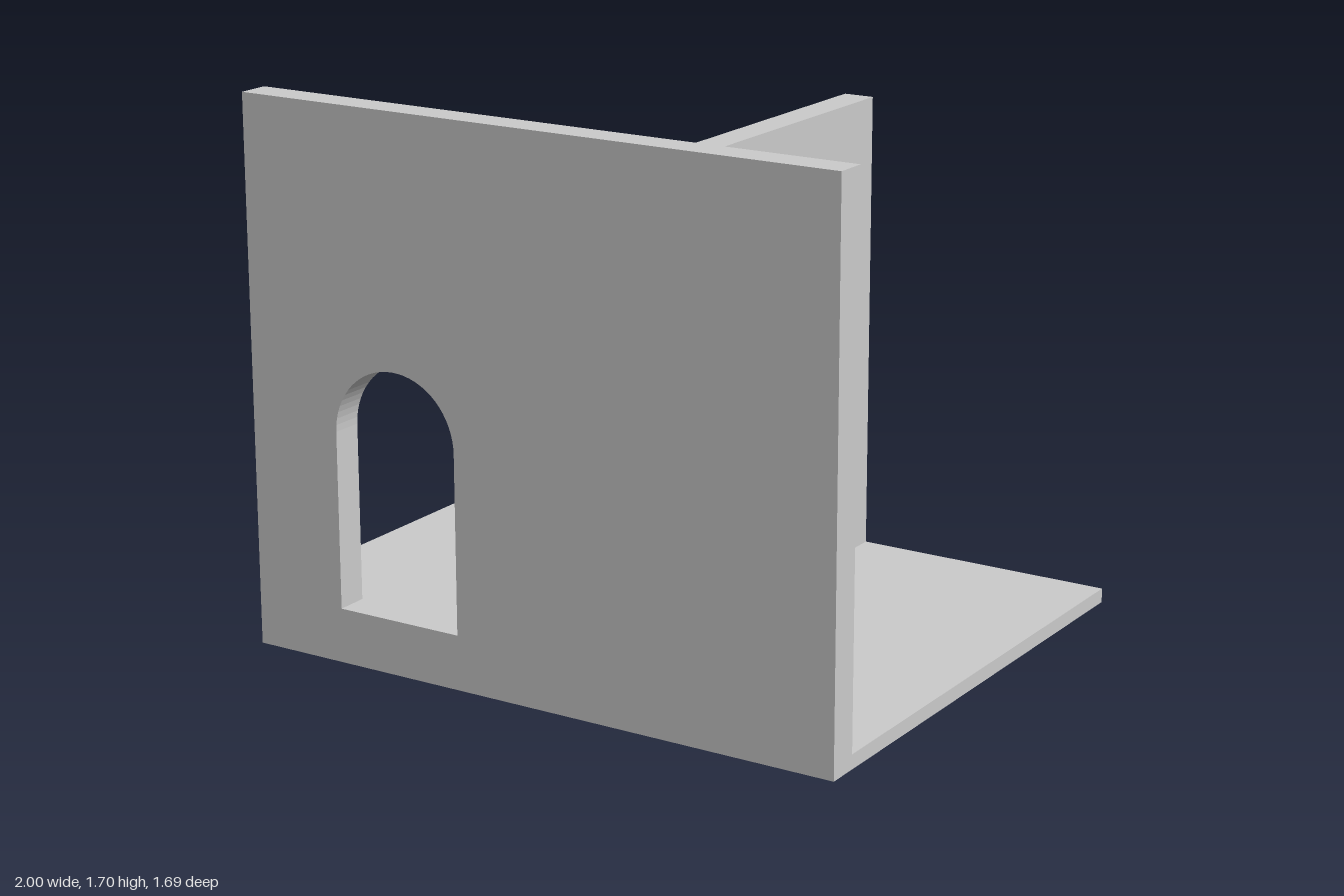
import * as THREE from 'three';

const material = new THREE.MeshStandardMaterial({ color: 0xcccccc, flatShading: true });

const BACK = -0.845, WALL = 0.745, FRONT = 0.845;

function rectShape(x0, y0, x1, y1) {
  return new THREE.Shape([
    new THREE.Vector2(x0, y0), new THREE.Vector2(x1, y0),
    new THREE.Vector2(x1, y1), new THREE.Vector2(x0, y1),
  ]);
}

function panel(name, shape, depth) {
  const geometry = new THREE.ExtrudeGeometry(shape, { depth, bevelEnabled: false, curveSegments: 16 });
  const mesh = new THREE.Mesh(geometry, material);
  mesh.name = name;
  return mesh;
}

function floor(name, x0, x1, height) {
  const mesh = new THREE.Mesh(new THREE.BoxGeometry(x1 - x0, height, WALL - BACK), material);
  mesh.position.set((x0 + x1) / 2, height / 2, (WALL + BACK) / 2);
  mesh.name = name;
  return mesh;
}

export function createModel() {
  const group = new THREE.Group();
  group.name = 'roomCorner';

  // Front wall with an arched doorway
  const wallShape = rectShape(-1, 0, 1, 1.7);
  const doorX = -0.477, doorR = 0.213, sill = 0.17, spring = 0.72;
  const door = new THREE.Path();
  door.moveTo(doorX - doorR, sill);
  door.lineTo(doorX + doorR, sill);
  door.lineTo(doorX + doorR, spring);
  door.absarc(doorX, spring, doorR, 0, Math.PI, false);
  door.closePath();
  wallShape.holes.push(door);
  const wall = panel('frontWall', wallShape, FRONT - WALL);
  wall.position.z = WALL;
  group.add(wall);

  // Dividing wall with two hexagonal windows, drawn along -z and turned
  const dividerShape = rectShape(-WALL, 0, -BACK, 1.525);
  for (const z of [0.228, -0.502]) {
    const points = [];
    for (let i = 0; i < 6; i++) {
      const a = (i * Math.PI) / 3;
      points.push(new THREE.Vector2(-z + 0.198 * Math.cos(a), 0.694 + 0.198 * Math.sin(a)));
    }
    dividerShape.holes.push(new THREE.Path(points));
  }
  const divider = panel('dividingWall', dividerShape, 0.1);
  divider.rotation.y = Math.PI / 2;
  divider.position.x = 0.05;
  group.add(divider);

  // Raised floor behind the doorway, thin floor on the other side
  group.add(floor('raisedFloor', -1, 0.05, sill));
  group.add(floor('lowFloor', 0.15, 1, 0.045));

  return group;
}
